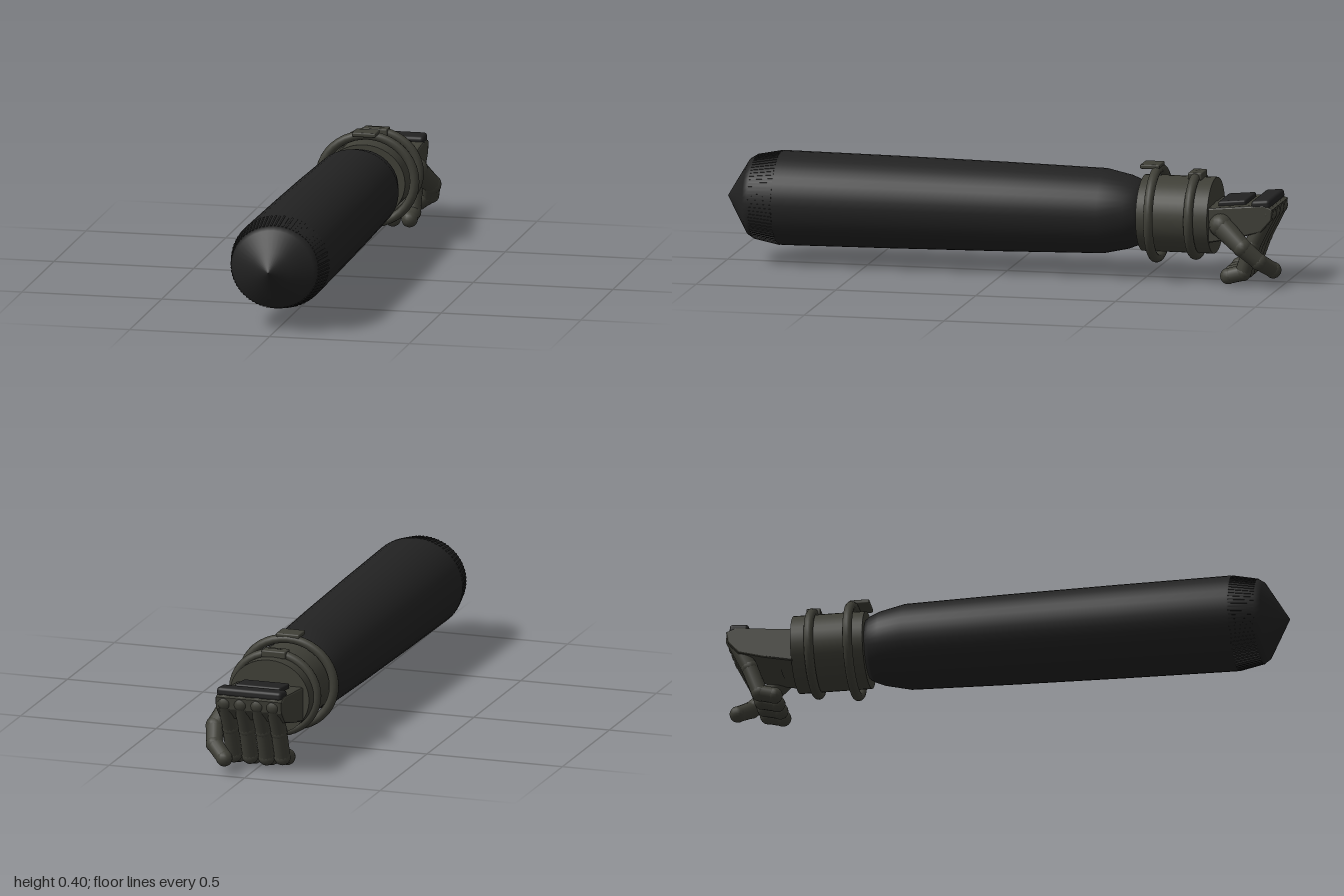
import * as THREE from 'three';
import { RoundedBoxGeometry } from 'three/addons/geometries/RoundedBoxGeometry.js';

export function createModel() {
  const model = new THREE.Group();
  const cloth = new THREE.MeshStandardMaterial({ color: 0x222222 });
  cloth.name = 'black cloth';
  const olive = new THREE.MeshStandardMaterial({ color: 0x3f3f37 });
  olive.name = 'dark olive';
  const CY = 0.228, V = (x, y, z) => new THREE.Vector3(x, y, z);

  function add(parent, name, geometry, material, x = 0, y = 0, z = 0) {
    const mesh = new THREE.Mesh(geometry, material);
    mesh.name = name;
    mesh.position.set(x, y, z);
    parent.add(mesh);
    return mesh;
  }

  // Sleeve: slightly flattened lathe along z, [z, radius]
  const profile = [
    [-0.495, 0], [-0.495, 0.108], [-0.475, 0.122], [-0.44, 0.137], [-0.35, 0.158],
    [0, 0.166], [0.4, 0.172], [0.8, 0.176], [0.9, 0.155], [0.918, 0.143], [0.96, 0.07], [1, 0],
  ].map(([z, r]) => new THREE.Vector2(r, z));
  const sleeveGeo = new THREE.LatheGeometry(profile, 40).rotateX(Math.PI / 2).scale(1, 0.94, 1);
  add(model, 'sleeve', sleeveGeo, cloth, -0.005, CY, 0);

  // Gathered pleats around the closed end of the sleeve
  const pleats = new THREE.Group();
  pleats.name = 'sleevePleats';
  pleats.position.set(-0.005, CY, 0);
  pleats.scale.y = 0.94;
  for (let i = 0; i < 72; i++) {
    const arm = new THREE.Group();
    arm.rotation.z = (i / 72) * Math.PI * 2;
    const pleat = add(arm, 'pleat', new THREE.BoxGeometry(0.006, 0.006, 0.09), cloth, 0, 0.164, 0.852);
    pleat.rotation.x = 0.207;
    pleats.add(arm);
  }
  model.add(pleats);

  // Cuff with two clamp rings and their clips
  const cuff = new THREE.CylinderGeometry(0.147, 0.147, 0.255, 40).rotateX(Math.PI / 2).scale(1, 0.91, 1);
  add(model, 'cuff', cuff, olive, -0.003, CY, -0.618);
  for (const [name, z, r] of [['frontRing', -0.54, 0.169], ['rearRing', -0.68, 0.153]]) {
    add(model, name, new THREE.TorusGeometry(r, 0.017, 12, 40).scale(1, 0.93, 1), olive, -0.002, CY, z);
  }
  add(model, 'frontClip', new RoundedBoxGeometry(0.086, 0.016, 0.07, 2, 0.005), olive, -0.003, 0.397, -0.518);
  add(model, 'rearClip', new RoundedBoxGeometry(0.09, 0.026, 0.05, 2, 0.005), olive, -0.003, 0.37, -0.68);

  // Hand
  const hand = new THREE.Group();
  hand.name = 'hand';
  model.add(hand);
  const wrist = new THREE.CylinderGeometry(0.1, 0.1, 0.08, 24).rotateX(Math.PI / 2).scale(1, 0.62, 1);
  add(hand, 'wrist', wrist, olive, -0.003, 0.215, -0.755);

  // Palm: side outline [z, y] extruded across the hand
  const side = new THREE.Shape(
    [[0.745, 0.155], [0.84, 0.175], [0.93, 0.2], [0.965, 0.24], [0.97, 0.275], [0.94, 0.286], [0.745, 0.268]]
      .map(([z, y]) => new THREE.Vector2(z, y)));
  const palmGeo = new THREE.ExtrudeGeometry(side, {
    depth: 0.226, bevelEnabled: true, bevelSize: 0.006, bevelThickness: 0.01, bevelSegments: 2,
  }).rotateY(Math.PI / 2);
  add(hand, 'palm', palmGeo, olive, -0.118, 0, 0);

  // Tapering finger made of jointed segments
  function finger(name, points, radii) {
    const group = new THREE.Group();
    group.name = name;
    points.forEach((p, i) => {
      add(group, 'joint', new THREE.SphereGeometry(radii[i], 14, 10), olive, p.x, p.y, p.z);
      if (i === points.length - 1) return;
      const dir = points[i + 1].clone().sub(p);
      const bone = add(group, 'segment',
        new THREE.CylinderGeometry(radii[i + 1] * 0.95, radii[i] * 0.95, dir.length(), 14), olive);
      bone.position.copy(p).addScaledVector(dir, 0.5);
      bone.quaternion.setFromUnitVectors(V(0, 1, 0), dir.normalize());
    });
    hand.add(group);
  }
  const names = ['littleFinger', 'ringFinger', 'middleFinger', 'indexFinger'];
  [-0.092, -0.034, 0.027, 0.087].forEach((x, i) => {
    const lift = [0.006, 0, 0, 0][i];
    finger(names[i], [
      V(x, 0.258, -0.95), V(x, 0.15, -0.898), V(x, 0.045 + lift, -0.862), V(x, 0.031 + lift, -0.81),
    ], [0.032, 0.03, 0.03, 0.029]);
  });
  finger('thumb', [
    V(0.115, 0.215, -0.79), V(0.152, 0.145, -0.875), V(0.135, 0.095, -0.93), V(0.085, 0.058, -0.97),
  ], [0.042, 0.034, 0.031, 0.029]);

  // Armour plates on the back of the hand
  const back = add(hand, 'backPlate', new RoundedBoxGeometry(0.17, 0.026, 0.1, 2, 0.007), cloth, -0.003, 0.284, -0.822);
  const knuckle = add(hand, 'knucklePlate', new RoundedBoxGeometry(0.24, 0.032, 0.068, 3, 0.012), cloth, -0.003, 0.292, -0.931);
  back.rotation.x = knuckle.rotation.x = 0.09;

  return model;
}
